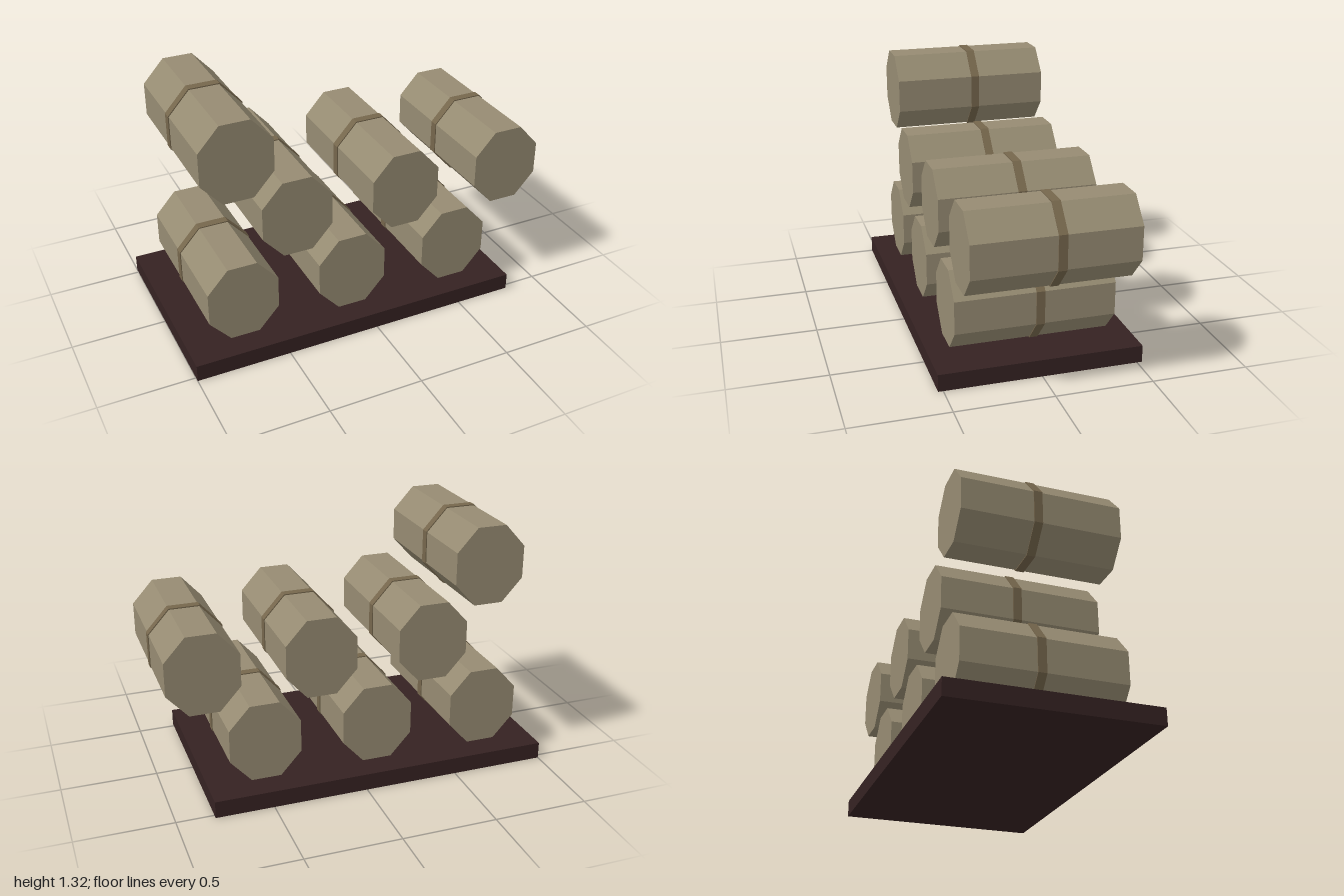
import * as THREE from 'three';

const wood = new THREE.MeshStandardMaterial({ color: 0x968b72, flatShading: true });
wood.name = 'pale wood';
const strap = new THREE.MeshStandardMaterial({ color: 0x75664c, flatShading: true });
strap.name = 'brown strap';
const darkWood = new THREE.MeshStandardMaterial({ color: 0x352222, flatShading: true });
darkWood.name = 'dark wood';

// Octagonal prism along z with flat sides on the x and y axes
function octagon(halfWidth, halfHeight, zMin, zMax) {
  const r = 1 / Math.cos(Math.PI / 8);
  const g = new THREE.CylinderGeometry(r, r, 1, 8, 1, false, Math.PI / 8);
  g.rotateX(Math.PI / 2);
  g.scale(halfWidth, halfHeight, zMax - zMin);
  g.translate(0, 0, (zMin + zMax) / 2);
  return g;
}

export function createModel() {
  const model = new THREE.Group();
  model.name = 'barrelStack';

  // Base slab
  const base = new THREE.Mesh(new THREE.BoxGeometry(1.805, 0.09, 1.052), darkWood);
  base.name = 'base';
  base.position.set(-0.0975, 0.045, 0);
  model.add(base);

  // Barrels in staggered rows, each with a band just behind the middle
  const bodyGeometry = octagon(0.187, 0.2075, -0.414, 0.414);
  const bandGeometry = octagon(0.192, 0.213, -0.044, 0);
  const rows = [
    { y: 0.3175, xs: [-0.697, -0.095, 0.507] },
    { y: 0.7325, xs: [-0.396, 0.206, 0.808] },
    { y: 1.11, xs: [-0.697] },
  ];
  for (const { y, xs } of rows) {
    for (const x of xs) {
      const barrel = new THREE.Group();
      barrel.name = 'barrel';
      const body = new THREE.Mesh(bodyGeometry, wood);
      body.name = 'barrelBody';
      const band = new THREE.Mesh(bandGeometry, strap);
      band.name = 'barrelBand';
      barrel.add(body, band);
      barrel.position.set(x, y, 0);
      model.add(barrel);
    }
  }
  return model;
}
